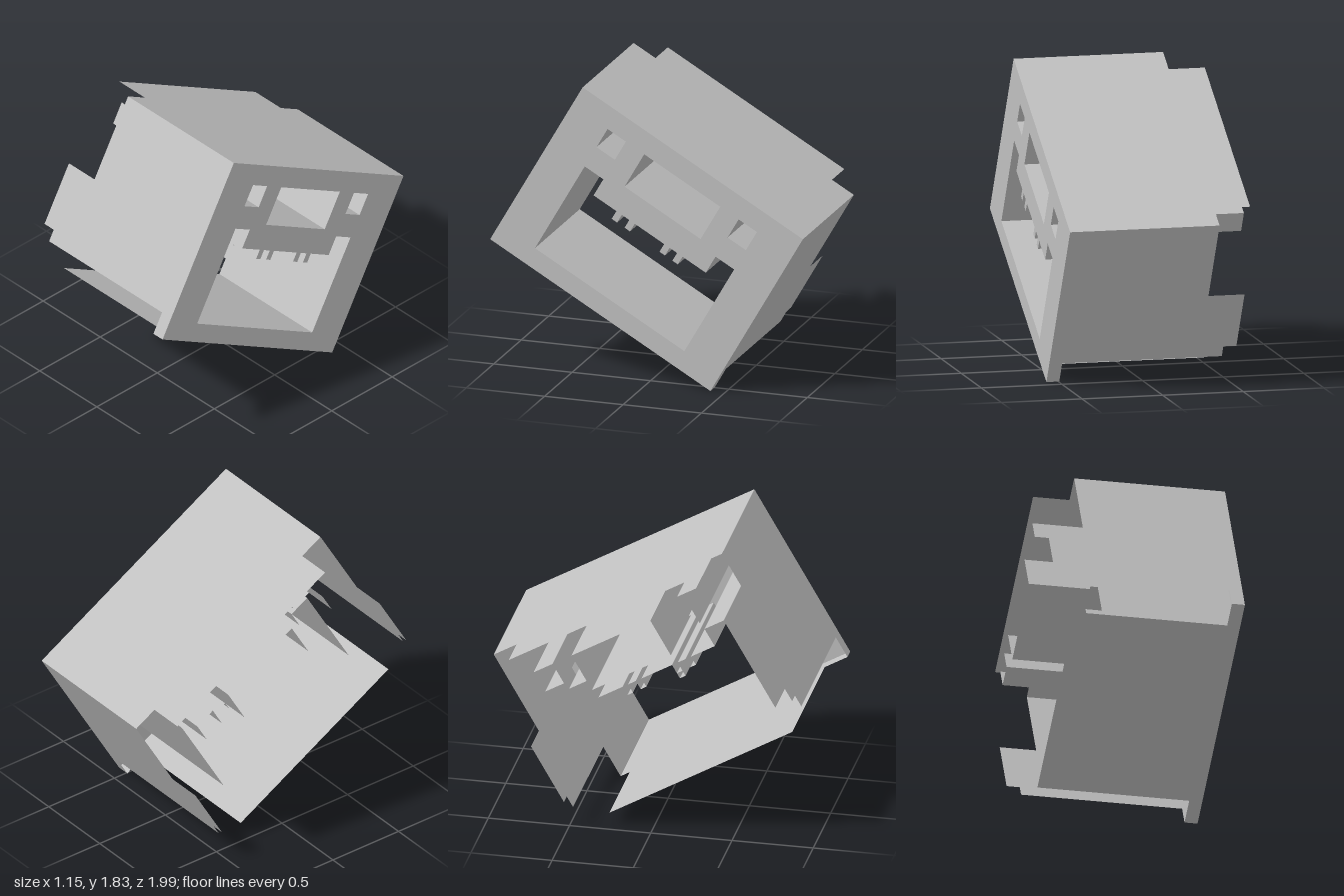
import * as THREE from 'three';

export function createModel() {
  const steel = new THREE.MeshStandardMaterial({ color: 0xc0c0c0, side: THREE.DoubleSide });
  steel.name = 'plain grey sheet';
  const model = new THREE.Group();
  model.name = 'socketHousing';

  const P = 0.811, Q = 0.59;          // half width and half height of the shell
  const FACE = 0.573, REAR = -0.578, SHELL = -0.354;

  const add = (name, geometry) => {
    geometry.computeVertexNormals();
    const mesh = new THREE.Mesh(geometry, steel);
    mesh.name = name;
    model.add(mesh);
  };
  const vec = (pts) => pts.map(([a, b]) => new THREE.Vector2(a, b));

  // Flat panel: a 2D outline (with holes) placed in space by a rule
  const panel = (name, outline, place, holes = []) => {
    const shape = new THREE.Shape(vec(outline));
    holes.forEach((h) => shape.holes.push(new THREE.Path(vec(h))));
    const g = new THREE.ShapeGeometry(shape);
    const pos = g.attributes.position;
    for (let i = 0; i < pos.count; i++) pos.setXYZ(i, ...place(pos.getX(i), pos.getY(i)));
    add(name, g);
  };

  // Thin walls running along x from a line of (z, y) points
  const walls = (name, pts, x0, x1, closed = true) => {
    const v = [];
    const n = closed ? pts.length : pts.length - 1;
    for (let i = 0; i < n; i++) {
      const [az, ay] = pts[i], [bz, by] = pts[(i + 1) % pts.length];
      v.push(x0, ay, az, x1, ay, az, x1, by, bz, x0, ay, az, x1, by, bz, x0, by, bz);
    }
    const g = new THREE.BufferGeometry();
    g.setAttribute('position', new THREE.Float32BufferAttribute(v, 3));
    add(name, g);
  };

  const rect = (z0, z1, y0, y1) => [[z0, y0], [z1, y0], [z1, y1], [z0, y1]];

  // Opening outlines in (z, y)
  const windowHole = rect(-0.28, 0.28, 0.205, 0.456);
  const leftHole = rect(0.415, 0.55, 0.315, 0.456);
  const rightHole = rect(-0.55, -0.415, 0.315, 0.456);
  const cavity = [[-0.55, -0.47], [0.55, -0.47], [0.55, 0.165], [0.413, 0.165], [0.413, 0.04]];
  for (const [c, tip] of [[0.225, -0.02], [0.13, -0.02], [-0.127, -0.02], [-0.222, -0.02]]) {
    cavity.push([c + 0.02, 0.04], [c + 0.02, tip], [c - 0.02, tip], [c - 0.02, 0.04]);
  }
  cavity.push([-0.413, 0.04], [-0.413, 0.165], [-0.55, 0.165]);

  // Face plate with its openings
  panel('facePlate', rect(-P, P, -Q, Q), (a, b) => [FACE, b, a],
    [windowHole, leftHole, rightHole, cavity]);

  // Tunnels behind the openings
  walls('cavityWalls', cavity, FACE, -0.24);
  walls('windowTunnel', windowHole, FACE, REAR);
  walls('rightPortTunnel', rightHole, FACE, REAR);
  walls('leftPortTunnel', leftHole, FACE, SHELL);
  walls('leftPortFlap', [[0.55, 0.315], [0.55, 0.456]], SHELL, REAR, false);

  // One contact strip hangs lower than the others
  walls('longContact', [[0.15, -0.02], [0.15, -0.057], [0.11, -0.057], [0.11, -0.02]], 0.3, -0.24, false);

  // Notched side walls, mirrored
  const side = [[FACE, -Q], [FACE, Q], [SHELL, Q], [SHELL, 0.035], [REAR, 0.035], [REAR, -0.37],
    [-0.497, -0.37], [-0.497, -0.447], [0.493, -0.447], [0.493, -Q]];
  for (const [name, s] of [['frontWall', 1], ['backWall', -1]]) {
    panel(name, side, (a, b) => [a, b, s * P]);
  }

  // Top wall with a rear tab, and inset bottom wall
  panel('topWall', [[FACE, -P], [FACE, P], [SHELL, P], [SHELL, 0.65], [REAR, 0.65],
    [REAR, -0.65], [SHELL, -0.65], [SHELL, -P]], (a, b) => [a, Q, b]);
  panel('bottomWall', [[FACE, -P], [FACE, P], [0.493, P], [0.493, 0.65], [-0.44, 0.65],
    [-0.44, -0.65], [0.493, -0.65], [0.493, -P]], (a, b) => [a, -Q, b]);

  // The whole housing leans by 30 degrees
  model.rotation.x = -Math.PI / 6;
  model.position.y = P * 0.5 + Q * Math.cos(Math.PI / 6);
  const root = new THREE.Group();
  root.name = 'model';
  root.add(model);
  return root;
}
